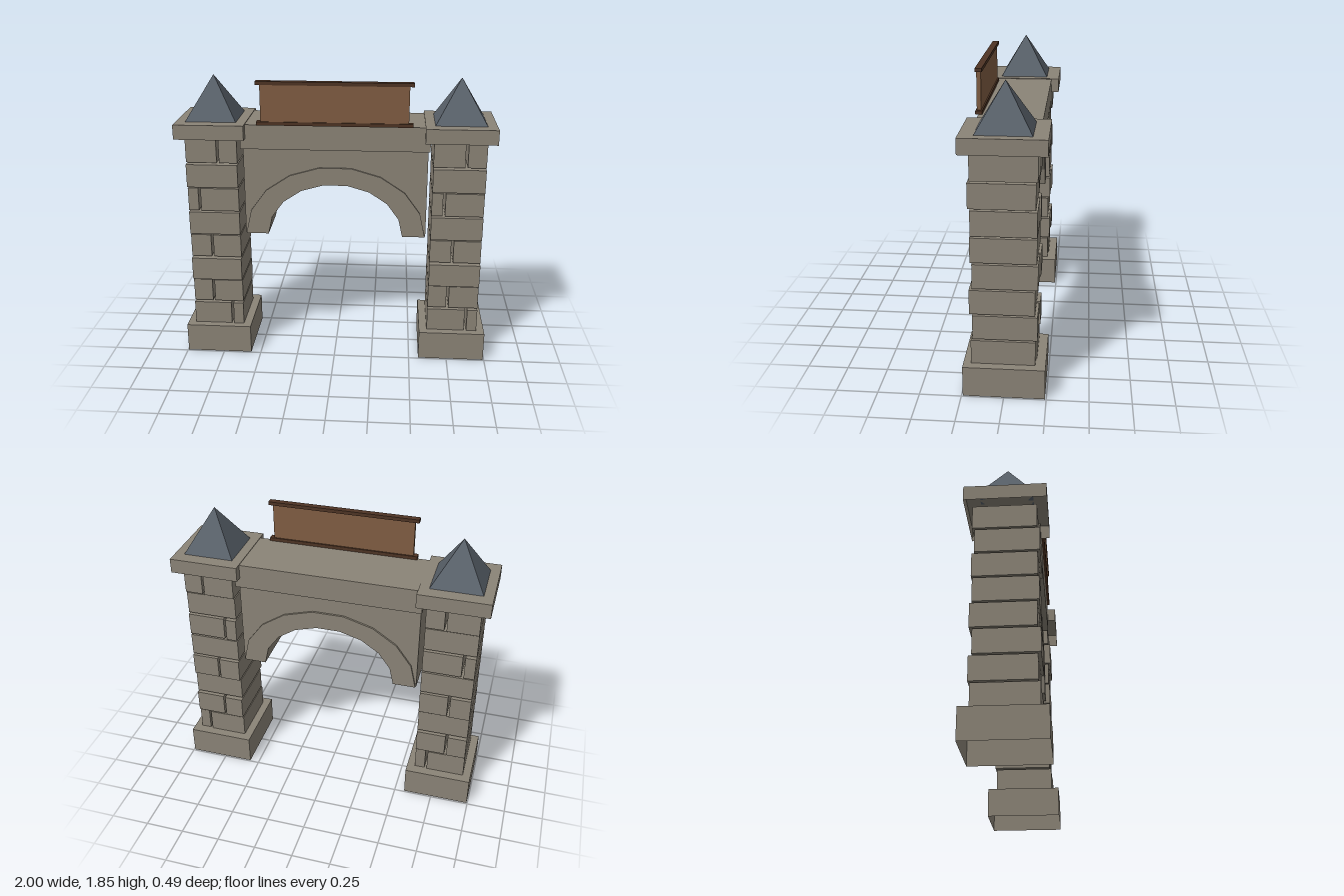
import * as THREE from 'three';

const mat = (name, color, side = THREE.FrontSide) => {
  const m = new THREE.MeshStandardMaterial({ color, side });
  m.name = name;
  return m;
};

export function createModel() {
  const stone = mat('stone', 0x8b8477, THREE.DoubleSide);
  const wood = mat('wood', 0x805d42);
  const darkWood = mat('darkWood', 0x4e3424);
  const slate = mat('slate', 0x59616a);

  const model = new THREE.Group();
  model.name = 'gateway';

  const add = (parent, name, geometry, material) => {
    const mesh = new THREE.Mesh(geometry, material);
    mesh.name = name;
    parent.add(mesh);
    return mesh;
  };

  // Box given by its extents on each axis
  const box = (x0, x1, y0, y1, z0, z1) =>
    new THREE.BoxGeometry(x1 - x0, y1 - y0, z1 - z0)
      .translate((x0 + x1) / 2, (y0 + y1) / 2, (z0 + z1) / 2);

  // Same box without its underside
  const openBox = (...extents) => {
    const g = box(...extents);
    const index = Array.from(g.index.array);
    index.splice(18, 6);
    g.setIndex(index);
    g.clearGroups();
    return g;
  };

  // Pillars: joint position per course (null = one full stone), z shift per course
  const pillars = [
    { name: 'rightPillar', x: -0.78,
      joints: [-0.69, -0.813, null, -0.805, null, -0.87, null, -0.74],
      shifts: [0.004, -0.008, 0.01, -0.009, 0.003, -0.004, 0.01, -0.005] },
    { name: 'leftPillar', x: 0.778,
      joints: [0.868, 0.743, null, 0.758, null, 0.692, null, 0.818],
      shifts: [0.003, -0.008, 0.012, -0.01, 0.003, -0.004, 0.011, -0.005] },
  ];
  for (const { name, x, joints, shifts } of pillars) {
    const pillar = new THREE.Group();
    pillar.name = name;
    model.add(pillar);

    add(pillar, 'base', openBox(x - 0.215, x + 0.215, 0, 0.19, -0.242, 0.242), stone);
    add(pillar, 'cap', openBox(x - 0.22, x + 0.22, 1.482, 1.575, -0.245, 0.245), stone);

    // Stone courses with open joints
    joints.forEach((joint, i) => {
      const y0 = 0.192 + i * 0.161, y1 = y0 + 0.15;
      const left = x - 0.164, right = x + 0.164;
      const z0 = -0.19 + shifts[i], z1 = 0.19 + shifts[i];
      if (joint === null) {
        add(pillar, 'stoneBlock', box(left, right, y0, y1, z0, z1), stone);
      } else {
        add(pillar, 'stoneBlock', box(left, joint - 0.008, y0, y1, z0, z1), stone);
        add(pillar, 'stoneBlock', box(joint + 0.008, right, y0, y1, z0 + 0.006, z1 + 0.003), stone);
      }
    });

    // Pyramid roof
    const roof = new THREE.ConeGeometry(0.16 * Math.SQRT2, 0.27, 4, 1)
      .rotateY(Math.PI / 4).toNonIndexed();
    roof.computeVertexNormals();
    add(pillar, 'roof', roof, slate).position.set(x, 1.71, 0);
  }

  // Nine-sided half ellipse, from +x to -x
  const springY = 0.84;
  const arc = (rx, ry) => Array.from({ length: 10 }, (_, i) => {
    const a = (i / 9) * Math.PI;
    return new THREE.Vector2(rx * Math.cos(a), springY + ry * Math.sin(a));
  });
  const extrude = (points, depth) =>
    new THREE.ExtrudeGeometry(new THREE.Shape(points), { depth, bevelEnabled: false })
      .translate(0, 0, -depth / 2);

  // Arch ring, slightly proud of the wall above it
  add(model, 'archRing',
    extrude([...arc(0.578, 0.458), ...arc(0.433, 0.343).reverse()], 0.33), stone);
  add(model, 'archWall', extrude([
    ...arc(0.565, 0.445),
    new THREE.Vector2(-0.582, springY), new THREE.Vector2(-0.582, 1.42),
    new THREE.Vector2(0.582, 1.42), new THREE.Vector2(0.582, springY),
  ], 0.305), stone);
  add(model, 'cornice', box(-0.592, 0.592, 1.415, 1.571, -0.195, 0.19), stone);

  // Wooden board between two rails
  add(model, 'signBoard', box(-0.458, 0.455, 1.59, 1.835, 0.175, 0.201), wood);
  for (const y of [1.573, 1.823])
    add(model, 'signRail', box(-0.484, 0.482, y, y + 0.022, 0.166, 0.207), darkWood);

  return model;
}
